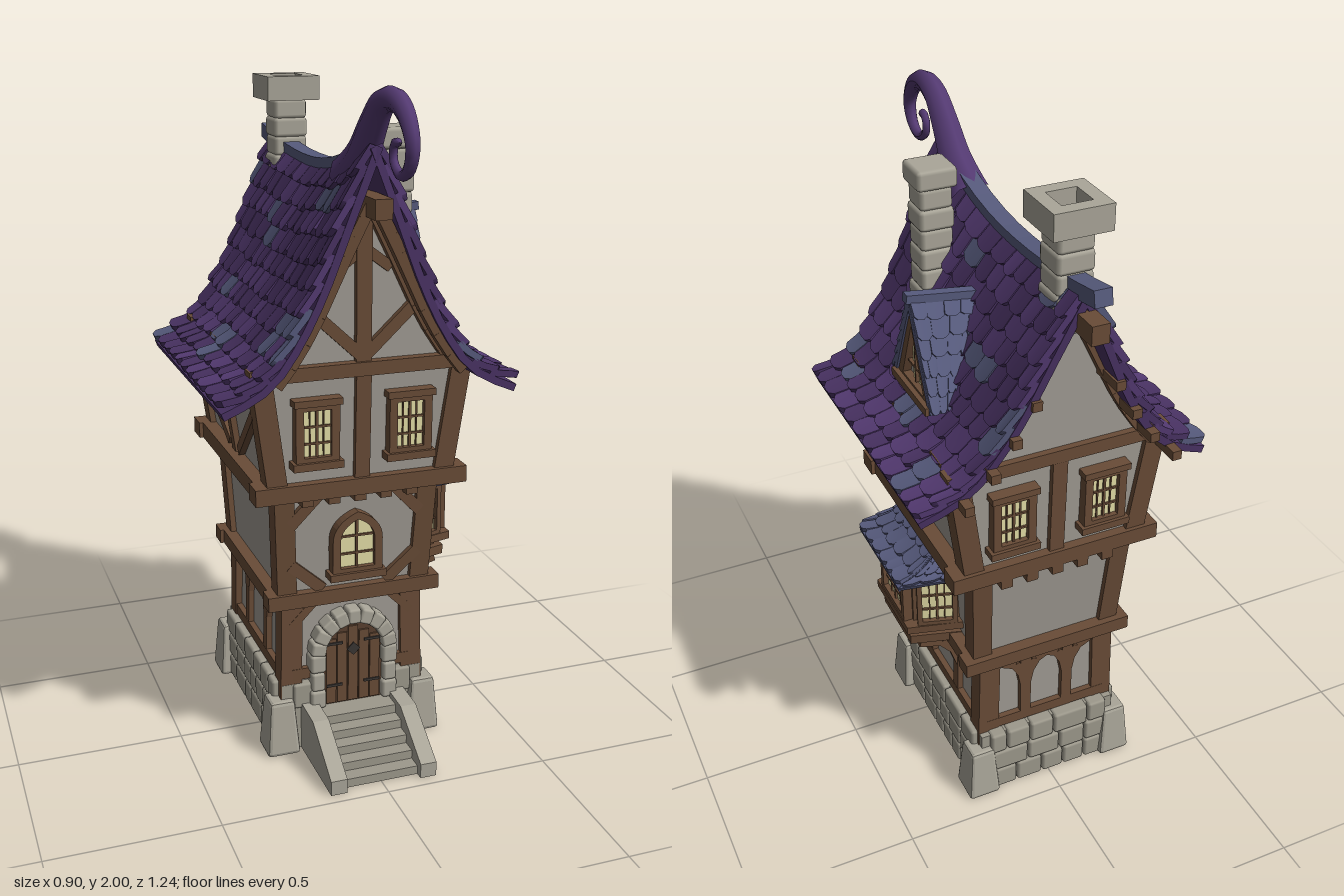
import * as THREE from 'three';
import { mergeGeometries } from 'three/addons/utils/BufferGeometryUtils.js';
import { RoundedBoxGeometry } from 'three/addons/geometries/RoundedBoxGeometry.js';

const mat = (name, color) => new THREE.MeshStandardMaterial({ name, color });
const V = (x, y, z) => new THREE.Vector3(x, y, z);
const lerp = THREE.MathUtils.lerp;

export function createModel() {
  const model = new THREE.Group();
  model.name = 'timberHouse';
  const plaster = mat('plaster', 0xa09b93), stone = mat('stone', 0x9d998c), paleStone = mat('pale stone', 0xaaa699);
  const wood = mat('timber', 0x694c37), doorWood = mat('door wood', 0x58402f), glass = mat('lit glass', 0xe3dda6);
  const purple = mat('purple tile', 0x543a72), deep = mat('deep purple tile', 0x493263), slate = mat('slate tile', 0x565a7c);
  const iron = mat('iron', 0x393533);
  let seed = 7;
  const rnd = () => (seed = (seed * 16807) % 2147483647) / 2147483647;

  // Merge a list of geometries into one named mesh
  const put = (name, m, geos, parent = model) => {
    const flat = geos.map(g => {
      const n = g.index ? g.toNonIndexed() : g;
      n.deleteAttribute('uv');
      return n;
    });
    const mesh = new THREE.Mesh(mergeGeometries(flat), m);
    mesh.name = name;
    parent.add(mesh);
    return mesh;
  };
  const box = (w, h, d, x, y, z) => new THREE.BoxGeometry(w, h, d).translate(x, y, z);
  const block = (w, h, d, x, y, z) => new RoundedBoxGeometry(w, h, d, 1, Math.min(w, h, d) * 0.2).translate(x, y, z);
  const beam = (a, b, w, d, n = V(0, 0, 1)) => {
    const y = b.clone().sub(a), len = y.length();
    y.normalize();
    const x = y.clone().cross(n).normalize(), z = x.clone().cross(y);
    return new THREE.BoxGeometry(w, len, d).applyMatrix4(new THREE.Matrix4().makeBasis(x, y, z))
      .translate((a.x + b.x) / 2, (a.y + b.y) / 2, (a.z + b.z) / 2);
  };
  const extrude = (shape, depth) => new THREE.ExtrudeGeometry(shape, { depth, bevelEnabled: false, curveSegments: 8 });
  const poly = pts => new THREE.Shape(pts.map(p => new THREE.Vector2(p[0], p[1])));

  // Walls: each storey leans outwards [y0, y1, halfX0, halfX1, front0, front1, back0, back1]
  const floors = [
    [0.15, 0.5, 0.208, 0.2, 0.168, 0.163, -0.37, -0.37],
    [0.5, 0.86, 0.22, 0.235, 0.18, 0.205, -0.36, -0.395],
    [0.86, 1.22, 0.262, 0.312, 0.245, 0.255, -0.41, -0.42]];
  const at = (f, y) => {
    const k = (y - f[0]) / (f[1] - f[0]);
    return { hx: lerp(f[2], f[3], k), zf: lerp(f[4], f[5], k), zb: lerp(f[6], f[7], k) };
  };
  const normals = { front: V(0, 0, 1), back: V(0, 0, -1), left: V(1, 0, 0), right: V(-1, 0, 0) };
  const on = (side, f, s, y, out = 0) => {
    const w = at(floors[f], y);
    if (side === 'front') return V(s, y, w.zf + out);
    if (side === 'back') return V(s, y, w.zb - out);
    return V((w.hx + out) * normals[side].x, y, s);
  };
  put('plasterWalls', plaster, floors.map(f => {
    const g = new THREE.BoxGeometry(2, 1, 1), p = g.attributes.position;
    for (let i = 0; i < p.count; i++) {
      const y = p.getY(i) > 0 ? f[1] : f[0], w = at(f, y);
      p.setXYZ(i, p.getX(i) * w.hx, y, p.getZ(i) > 0 ? w.zf : w.zb);
    }
    g.computeVertexNormals();
    return g;
  }));

  // Timber frame
  const frame = [];
  const timber = (side, f, s0, y0, s1, y1, w = 0.035) =>
    frame.push(beam(on(side, f, s0, y0), on(side, f, s1, y1), w, 0.036, normals[side]));
  floors.forEach((f, i) => {
    for (const sx of [-1, 1]) for (const end of ['zf', 'zb']) {
      const a = at(f, f[0]), b = at(f, f[1]), e = end === 'zf' ? -0.014 : 0.014;
      frame.push(beam(V(sx * (a.hx - 0.012), f[0], a[end] + e), V(sx * (b.hx - 0.012), f[1], b[end] + e), i ? 0.06 : 0.066, 0.062));
    }
  });
  const ring = (y, h, hx, zf, zb, t) => {
    for (const s of [-1, 1]) frame.push(box(t, h, zf - zb - 0.02, s * (hx - t / 2 - 0.012), y, (zf + zb) / 2));
    for (const z of [zf - t / 2, zb + t / 2]) frame.push(box(hx * 2, h, t, 0, y, z));
  };
  ring(0.505, 0.045, 0.27, 0.21, -0.4, 0.06);
  ring(0.87, 0.05, 0.322, 0.275, -0.44, 0.07);
  ring(1.22, 0.04, 0.335, 0.28, -0.44, 0.05);
  for (const x of [-0.16, -0.08, 0, 0.08, 0.16]) for (const z of [0.225, -0.415]) frame.push(box(0.035, 0.03, 0.05, x, 0.832, z));
  for (const s of [-1, 1]) {
    timber('front', 1, s * 0.2, 0.75, s * 0.11, 0.845);
    timber('front', 1, s * 0.2, 0.62, s * 0.1, 0.53);
    timber('front', 0, s * 0.19, 0.41, s * 0.12, 0.48, 0.025);
    timber('front', 0, s * 0.19, 0.25, s * 0.13, 0.25);
    timber('back', 0, s * 0.07, 0.24, s * 0.07, 0.49);
  }
  for (const side of ['front', 'back']) timber(side, 2, 0, 0.89, 0, 1.21, 0.045);
  timber('back', 0, -0.2, 0.245, 0.2, 0.245);
  for (const side of ['left', 'right']) {
    timber(side, 2, -0.085, 0.89, -0.085, 1.21, 0.04);
    timber(side, 0, 0.15, 0.245, -0.35, 0.245);
    for (const s of [-1, 1]) {
      timber(side, 2, -0.085 + s * 0.3, 1.1, -0.085 + s * 0.05, 0.91, 0.03);
      timber(side, 0, -0.1 + s * 0.1, 0.25, -0.1 + s * 0.1, 0.49);
    }
  }
  // Curved knee braces below the first floor beam
  const knee = (side, s, d) => {
    const pts = [[0, 0.36], [0.012, 0.42], [0.035, 0.46], [0.075, 0.48]];
    for (let i = 0; i < 3; i++) timber(side, 0, s + d * pts[i][0], pts[i][1], s + d * pts[i + 1][0], pts[i + 1][1], 0.03);
  };
  for (const s of [-1, 1]) {
    for (const side of ['left', 'right']) { knee(side, -0.1 + s * 0.1, -s); knee(side, -0.1 + s * 0.1, s); }
    knee('back', s * 0.07, -s); knee('back', s * 0.07, s);
  }
  put('timberFrame', wood, frame);

  // Roof section, steep at the ridge and flared at the eaves, with a sagging ridge
  const section = new THREE.CatmullRomCurve3([[0.004, 1.735], [0.045, 1.655], [0.09, 1.565], [0.16, 1.42], [0.23, 1.305], [0.3, 1.222], [0.37, 1.182], [0.435, 1.155]].map(p => V(p[0], p[1], 0)));
  const sag = z => z > -0.15 ? 0.11 * ((z + 0.15) / 0.5) ** 2 : 0.035 * ((z + 0.15) / 0.4) ** 2;
  const slope = s => (u, v) => {
    const p = section.getPointAt(u);
    p.z = lerp(lerp(-0.55, -0.475, u), 0.35, s > 0 ? v : 1 - v);
    p.y += sag(p.z) * (1 - u) ** 2;
    p.x *= s;
    return p;
  };
  // A thin slab that follows a surface; its lower corners can be rounded
  const patch = (surf, u0, u1, v0, v1, lift0, lift1, thick, round = 0, nv = 4, nu = 2) => {
    const g = new THREE.BoxGeometry(1, 1, 1, nv, nu, 1), p = g.attributes.position;
    for (let i = 0; i < p.count; i++) {
      const a = p.getX(i) + 0.5, b = p.getY(i) + 0.5, t = p.getZ(i);
      const u = lerp(u0, u1, b * (1 - round * Math.abs(2 * a - 1) ** 4)), v = lerp(v0, v1, a);
      const q = surf(u, v), dv = surf(u, v + 0.01).sub(surf(u, v - 0.01));
      const n = dv.cross(surf(Math.min(u + 0.01, 1), v).sub(surf(Math.max(u - 0.01, 0), v))).normalize();
      q.addScaledVector(n, lerp(lift0, lift1, b) + t * thick);
      p.setXYZ(i, q.x, q.y, q.z);
    }
    g.computeVertexNormals();
    return g;
  };
  const tile = (surf, rows, cols, lift, pick) => {
    for (let r = 0; r < rows; r++) {
      let v = 0;
      while (v < 0.995) {
        let w = (0.75 + rnd() * 0.5) / cols;
        if (r % 2 && v === 0) w *= 0.55;
        if (v + w > 1 - 0.4 / cols) w = 1 - v;
        const u0 = Math.max(0, (r - 0.35) / rows), u1 = Math.min(1, (r + 1 + rnd() * 0.2) / rows);
        pick(r, v).push(patch(surf, u0, u1, v + 0.002, v + w - 0.002, lift * 0.2, lift * (0.85 + rnd() * 0.4), lift, 0.16));
        v += w;
      }
    }
  };
  const lists = { p: [], d: [], s: [] };
  for (const s of [1, -1]) {
    put('roofShell', deep, [patch(slope(s), 0, 1, 0, 1, -0.012, -0.012, 0.022, 0, 8, 12)]);
    tile(slope(s), 11, 12, 0.02, (r, v) => {
      const patchy = Math.sin(r * 1.3 + v * 9 + s) + Math.sin(v * 17 - r * 0.8);
      if (patchy > 0.9 && rnd() < 0.5) return lists.s;
      return rnd() < 0.5 ? lists.p : lists.d;
    });
  }
  put('purpleTiles', purple, lists.p);
  put('deepPurpleTiles', deep, lists.d);
  put('slateTiles', slate, lists.s);

  // Ridge capping
  const cap = [];
  for (let i = 0; i < 10; i++) {
    const z0 = 0.24 - i * 0.086, z1 = z0 - 0.09;
    cap.push(beam(V(0, 1.738 + sag(z0), z0), V(0, 1.738 + sag(z1), z1), 0.05, 0.045, V(0, 1, 0)));
  }
  put('ridgeCap', slate, cap);

  // Curled finial: a tapering tube along a spiral
  const path = new THREE.CatmullRomCurve3([[0.15, 1.74], [0.25, 1.81], [0.32, 1.89], [0.39, 1.955], [0.47, 1.972], [0.55, 1.94], [0.595, 1.87], [0.575, 1.81], [0.52, 1.788], [0.47, 1.82], [0.475, 1.862], [0.515, 1.868]].map(p => V(0, p[1], p[0])));
  const curl = new THREE.TubeGeometry(path, 48, 1, 8), cp = curl.attributes.position;
  for (let i = 0; i < cp.count; i++) {
    const k = Math.floor(i / 9) / 48, c = path.getPointAt(k);
    const r = k > 0.99 ? 0.001 : lerp(0.062, 0.012, Math.min(1, k * 1.15) ** 0.75);
    const q = V(cp.getX(i), cp.getY(i), cp.getZ(i)).sub(c).multiplyScalar(r).add(c);
    cp.setXYZ(i, q.x, q.y, q.z);
  }
  curl.computeVertexNormals();
  put('curledFinial', purple, [curl]);

  // Attic gables with raking timbers, ridge beam and purlin ends
  const prof = section.getPoints(12).filter(p => p.y > 1.21).map(p => [p.x, p.y - 0.025]);
  const gable = poly([...prof, ...prof.slice().reverse().map(p => [-p[0], p[1]])]);
  put('gableWalls', plaster, [extrude(gable, 0.67).translate(0, 0, -0.42)]);
  const trim = [box(0.05, 0.055, 1.03, 0, 1.685, -0.105)];
  for (const s of [-1, 1]) {
    for (let i = 0; i < prof.length - 1; i++) for (const z of [0.26, 0.325, -0.44])
      trim.push(beam(V(s * prof[i][0], prof[i][1] - 0.012, z), V(s * prof[i + 1][0], prof[i + 1][1] - 0.012, z), 0.034, 0.03));
    trim.push(beam(V(0, 1.25, 0.25), V(s * 0.16, 1.4, 0.25), 0.035, 0.036));
    trim.push(beam(V(0, 1.56, 0.25), V(s * 0.08, 1.5, 0.25), 0.03, 0.03));
    for (const [x, y] of [[0.12, 1.47], [0.175, 1.37], [0.235, 1.28], [0.31, 1.2]]) trim.push(box(0.028, 0.028, 0.13, s * x, y - 0.01, -0.465));
  }
  trim.push(box(0.045, 0.46, 0.04, 0, 1.47, 0.25));
  put('gableTimbers', wood, trim);

  // Windows: wooden surround, glowing pane and glazing bars
  const outline = (w, h, arch, C = THREE.Shape) => {
    const s = new C();
    s.moveTo(-w / 2, -h / 2); s.lineTo(w / 2, -h / 2);
    if (arch) {
      s.lineTo(w / 2, h * 0.05);
      s.quadraticCurveTo(w / 2, h * 0.35, 0, h / 2);
      s.quadraticCurveTo(-w / 2, h * 0.35, -w / 2, h * 0.05);
    } else { s.lineTo(w / 2, h / 2); s.lineTo(-w / 2, h / 2); }
    s.closePath();
    return s;
  };
  const addWindow = (name, pos, rotY, w, h, { arch = false, t = 0.024, sill = true } = {}) => {
    const g = new THREE.Group();
    g.name = name;
    g.position.copy(pos);
    g.rotation.y = rotY;
    const s = outline(w, h, arch), iw = w - 2 * t, ih = h - 2 * t;
    s.holes.push(outline(iw, ih, arch, THREE.Path));
    const parts = [extrude(s, 0.04).translate(0, 0, -0.015), box(0.007, ih, 0.012, 0, 0, 0.01)];
    if (!arch) for (const x of [-0.25, 0.25]) parts.push(box(0.004, ih, 0.008, x * iw, 0, 0.01));
    for (const y of [-0.22, 0.14]) parts.push(box(iw, 0.006, 0.01, 0, y * ih, 0.01));
    if (sill) {
      parts.push(box(w + 0.02, 0.022, 0.05, 0, -h / 2, 0.01));
      if (!arch) parts.push(box(w + 0.014, 0.02, 0.046, 0, h / 2, 0.01));
    }
    put('windowFrame', wood, parts, g);
    put('pane', glass, [new THREE.ShapeGeometry(outline(iw, ih, arch)).translate(0, 0, 0.009)], g);
    model.add(g);
  };
  for (const s of [-1, 1]) {
    addWindow('upperFrontWindow', on('front', 2, s * 0.14, 1.045, 0.008), 0, 0.13, 0.185);
    addWindow('upperBackWindow', on('back', 2, s * 0.14, 1.045, 0.008), Math.PI, 0.13, 0.185);
  }
  addWindow('archedWindow', on('front', 1, 0, 0.675, 0.014), 0, 0.155, 0.2, { arch: true });

  // Bay window on the left wall
  const zc = -0.1;
  const plan = (hw, hf, x) => poly([[0.18, hw], [x, hf], [x, -hf], [0.18, -hw]]);
  const prism = (shape, y0, y1) => extrude(shape, y1 - y0).rotateX(-Math.PI / 2).translate(0, y0, zc);
  const bay = [prism(plan(0.155, 0.1, 0.355), 0.56, 0.78), prism(plan(0.18, 0.125, 0.385), 0.555, 0.58), prism(plan(0.165, 0.11, 0.37), 0.5, 0.53), prism(plan(0.15, 0.095, 0.345), 0.52, 0.57), prism(plan(0.17, 0.115, 0.375), 0.745, 0.77)];
  for (const s of [-1, 1]) {
    const b = [[0.21, 0.37], [0.23, 0.43], [0.27, 0.475], [0.34, 0.495]];
    for (let i = 0; i < 3; i++) bay.push(beam(V(b[i][0], b[i][1], zc + s * 0.1), V(b[i + 1][0], b[i + 1][1], zc + s * 0.1), 0.03, 0.03));
  }
  put('bayBody', wood, bay);
  addWindow('bayFrontWindow', V(0.358, 0.663, zc), Math.PI / 2, 0.185, 0.17, { t: 0.02, sill: false });
  for (const s of [-1, 1])
    addWindow('baySideWindow', V(0.288, 0.663, zc + s * 0.123), s > 0 ? 0.3 : Math.PI - 0.3, 0.12, 0.17, { t: 0.015, sill: false });
  const low = [[0.2, -0.2], [0.42, -0.16], [0.42, 0.16], [0.2, 0.2]], high = [[0.2, -0.14], [0.255, -0.115], [0.255, 0.115], [0.2, 0.14]];
  const bayTiles = [];
  for (let i = 0; i < 3; i++) {
    const mix = (l, v, k) => lerp(l[i][k], l[i + 1][k], v);
    const surf = (u, v) => V(lerp(mix(high, v, 0), mix(low, v, 0), u), lerp(0.865, 0.768, u) - 0.02 * Math.sin(u * Math.PI), zc + lerp(mix(high, v, 1), mix(low, v, 1), u));
    bayTiles.push(patch(surf, 0, 1, 0, 1, -0.004, -0.004, 0.016));
    tile(surf, 3, i === 1 ? 6 : 4, 0.014, () => bayTiles);
  }
  put('bayRoof', slate, bayTiles);

  // Dormer
  const dormer = [];
  for (const s of [-1, 1]) {
    const surf = (u, v) => {
      const k = s > 0 ? v : 1 - v;
      return V(lerp(0.295, lerp(0.08, 0.22, u), k), lerp(lerp(1.6, 1.57, k), 1.31, u), zc + s * u * 0.135);
    };
    dormer.push(patch(surf, 0, 1, 0, 1, -0.006, -0.006, 0.016));
    tile(surf, 6, 4, 0.012, () => dormer);
  }
  dormer.push(beam(V(0.305, 1.605, zc), V(0.08, 1.575, zc), 0.03, 0.025, V(0, 1, 0)));
  put('dormerRoof', slate, dormer);
  const tri = (w, y0, y1) => poly([[-w, y0], [w, y0], [0, y1]]);
  const toLeft = (g, x) => g.rotateY(Math.PI / 2).translate(x, 0, zc);
  const rim = tri(0.115, 1.31, 1.57);
  rim.holes.push(tri(0.075, 1.335, 1.515));
  put('dormerGable', plaster, [toLeft(extrude(tri(0.11, 1.31, 1.56), 0.15), 0.115)]);
  put('dormerFrame', wood, [toLeft(extrude(rim, 0.035), 0.255), box(0.05, 0.024, 0.25, 0.28, 1.316, zc), box(0.012, 0.16, 0.007, 0.276, 1.42, zc), box(0.012, 0.007, 0.1, 0.276, 1.385, zc)]);
  put('dormerPane', glass, [toLeft(new THREE.ShapeGeometry(outline(0.075, 0.15, true)).translate(0, 1.41, 0), 0.272)]);

  // Chimneys of stacked courses
  const chimney = (name, x, z, y0, y1, w, capW, capH, hollow) => {
    const list = [], n = Math.round((y1 - y0) / 0.06), h = (y1 - y0) / n;
    for (let i = 0; i < n; i++) {
      const k = w + (rnd() - 0.5) * 0.01 + (i < 2 ? 0.01 : 0);
      list.push(block(k, h + 0.004, k, x, y0 + (i + 0.5) * h, z));
    }
    if (hollow) {
      const s = outline(capW, capW), r = capW * 0.52;
      s.holes.push(outline(r, r, false, THREE.Path));
      list.push(extrude(s, capH).rotateX(-Math.PI / 2).translate(x, y1, z));
    } else list.push(block(capW, capH, capW, x, y1 + capH / 2, z));
    put(name, paleStone, list);
  };
  chimney('sideChimney', 0.13, 0.13, 1.39, 1.81, 0.1, 0.12, 0.06, false);
  chimney('ridgeChimney', 0, -0.435, 1.62, 1.9, 0.105, 0.165, 0.072, true);

  // Stone footing: core, courses and battered corner blocks
  put('footingCore', stone, [box(0.45, 0.22, 0.59, 0, 0.11, -0.11)]);
  const stones = [];
  const course = (len, place) => {
    for (let r = 0; r < 3; r++) for (let s = -len / 2; s < len / 2 - 0.01;) {
      let w = 0.06 + rnd() * 0.07;
      if (s + w > len / 2 - 0.03) w = len / 2 - s;
      stones.push(place(s + w / 2, w - 0.004, 0.038 + r * 0.075, 0.073));
      s += w;
    }
  };
  for (const x of [-0.225, 0.225]) course(0.54, (s, w, y, h) => block(0.045, h, w, x, y, s - 0.11));
  course(0.4, (s, w, y, h) => block(w, h, 0.045, s, y, -0.4));
  for (const x of [-0.15, 0.15]) stones.push(block(0.08, 0.08, 0.04, x, 0.18, 0.175));
  put('footingStones', stone, stones);
  const corners = [];
  for (const x of [-0.228, 0.228]) for (const z of [0.165, -0.385]) {
    const g = new RoundedBoxGeometry(0.105, 0.175, 0.11, 1, 0.012), p = g.attributes.position;
    for (let i = 0; i < p.count; i++) {
      const k = 1 - 0.28 * (p.getY(i) / 0.175 + 0.5);
      p.setX(i, p.getX(i) * k); p.setZ(i, p.getZ(i) * k);
    }
    g.computeVertexNormals();
    corners.push(g.translate(x, 0.0875, z));
  }
  put('cornerBlocks', paleStone, corners);

  // Front steps with sloping side walls
  const steps = [];
  for (let i = 0; i < 5; i++) steps.push(box(0.24, 0.027, 0.26 - i * 0.045, 0, 0.0135 + i * 0.027, 0.18 + (0.26 - i * 0.045) / 2));
  put('frontSteps', stone, steps);
  const cheek = poly([[0.18, 0], [0.465, 0], [0.465, 0.045], [0.3, 0.15], [0.18, 0.155]]);
  put('stepWalls', paleStone, [-0.115, 0.165].map(x => extrude(cheek, 0.05).rotateY(-Math.PI / 2).translate(x, 0, 0)));

  // Arched stone doorway
  const surround = [];
  for (const s of [-1, 1]) for (let i = 0; i < 3; i++) surround.push(block(i % 2 ? 0.042 : 0.05, 0.06, 0.06, s * 0.115, 0.165 + i * 0.06, 0.182));
  for (let i = 0; i < 9; i++) {
    const a = (i + 0.5) * Math.PI / 9;
    surround.push(block(0.048, 0.042, 0.06, 0, 0, 0).rotateZ(a).translate(Math.cos(a) * 0.114, 0.312 + Math.sin(a) * 0.114, 0.182));
  }
  put('doorSurround', paleStone, surround);
  const leaf = new THREE.Shape();
  leaf.moveTo(-0.095, 0.13); leaf.lineTo(0.095, 0.13); leaf.lineTo(0.095, 0.312);
  leaf.absarc(0, 0.312, 0.095, 0, Math.PI);
  put('door', doorWood, [extrude(leaf, 0.03).translate(0, 0, 0.158)]);
  put('doorPlanks', wood, [-2, -1, 0, 1, 2].map(i => box(0.031, 0.25 - Math.abs(i) * 0.018, 0.008, i * 0.035, 0.265 - Math.abs(i) * 0.009, 0.19)));
  put('doorIronwork', iron, [0.2, 0.34].flatMap(y => [-1, 1].map(s => box(0.05, 0.008, 0.006, s * 0.06, y, 0.195))).concat(box(0.03, 0.03, 0.006, 0, 0, 0).rotateZ(Math.PI / 4).translate(0, 0.315, 0.195)));
  return model;
}
